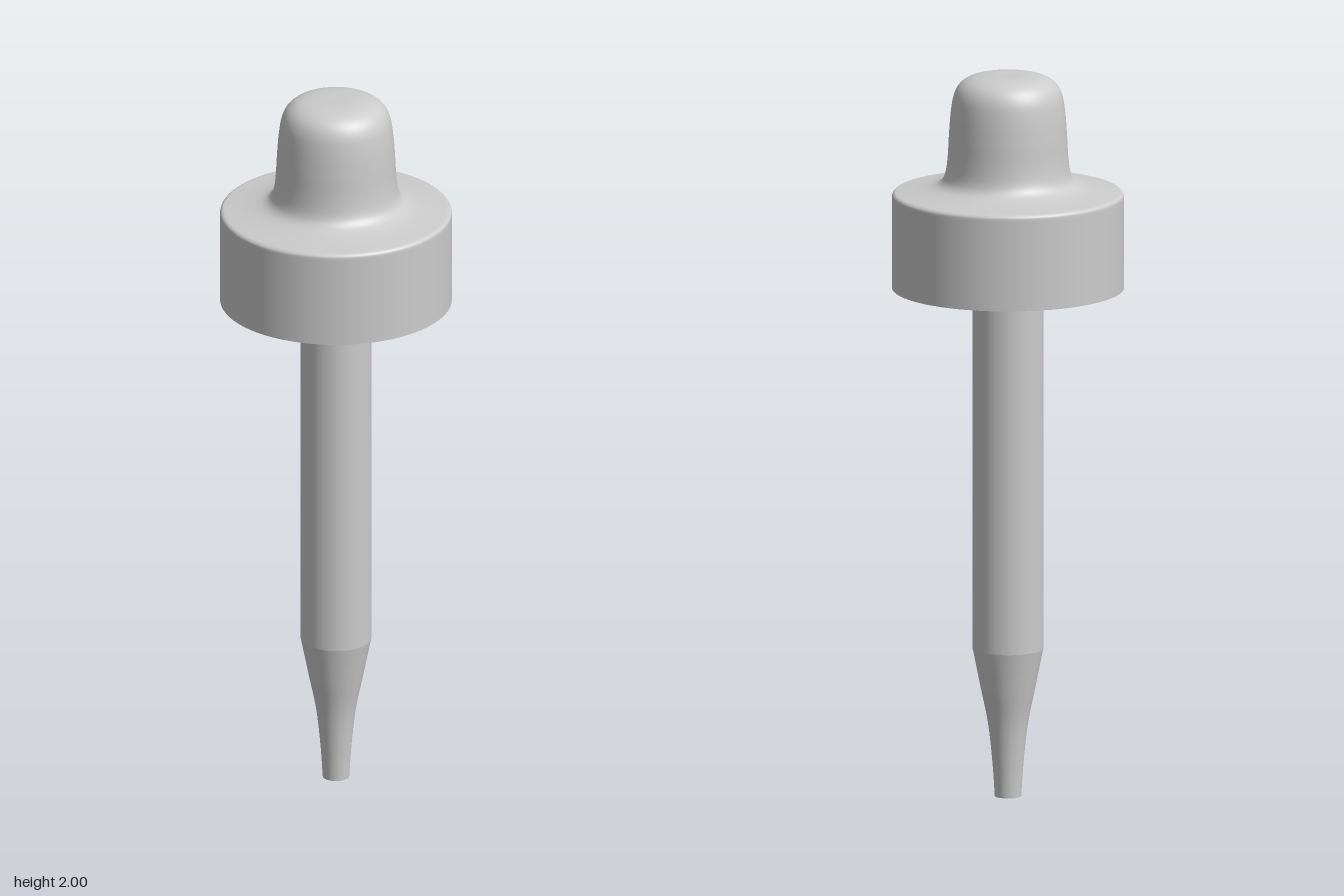
import * as THREE from 'three';
import { mergeGeometries } from 'three/addons/utils/BufferGeometryUtils.js';

const SIDES = 96;
const material = new THREE.MeshStandardMaterial({ color: 0xcccccc, side: THREE.DoubleSide });
const toPoints = (pairs) => pairs.map(([r, y]) => new THREE.Vector2(r, y));

// Smooth curve through a few profile points
const curve = (pairs, n = 40) => new THREE.SplineCurve(toPoints(pairs)).getPoints(n);

// One turned part: each run is smooth, with a sharp edge between runs
function turned(name, runs) {
  const parts = runs.map((run) => new THREE.LatheGeometry(run, SIDES));
  const mesh = new THREE.Mesh(mergeGeometries(parts), material);
  mesh.name = name;
  return mesh;
}

// Straight runs joining consecutive points
const straight = (pairs) => pairs.slice(1).map((p, i) => toPoints([pairs[i], p]));

export function createModel() {
  const group = new THREE.Group();
  group.name = 'dropper';

  // Hollow glass tube, tapering to an open tip
  const taper = [[0.036, 0], [0.042, 0.09], [0.054, 0.2], [0.074, 0.3], [0.096, 0.41]];
  const wall = 0.006;
  group.add(turned('glassTube', [
    ...straight([[0.036 - wall, 0], [0.036, 0]]),
    curve(taper, 24),
    ...straight([[0.096, 0.41], [0.096, 1.68], [0.096 - wall, 1.68], [0.096 - wall, 0.41]]),
    curve(taper.map(([r, y]) => [r - wall, y]).reverse(), 24),
  ]));

  // Screw cap: open underneath, with a recessed ceiling and a hole for the tube
  group.add(turned('cap', [
    ...straight([[0.128, 1.66], [0.128, 1.49], [0.298, 1.49], [0.298, 1.41], [0.315, 1.41], [0.315, 1.66]]),
    curve([[0.315, 1.66], [0.314, 1.668], [0.308, 1.674], [0.298, 1.676]], 12),
  ]));

  // Rubber bulb, flaring out over the top of the cap
  const bulb = [
    [0.298, 1.676], [0.25, 1.682], [0.21, 1.69], [0.185, 1.702], [0.171, 1.725], [0.164, 1.77],
    [0.16, 1.84], [0.155, 1.9], [0.147, 1.945], [0.13, 1.975], [0.1, 1.993], [0.055, 2], [0, 2],
  ];
  group.add(turned('bulb', [curve(bulb, 90)]));

  // Inside of the bulb, seen through the hole in the cap
  group.add(turned('bulbLining', [
    curve([[0, 1.975], [0.07, 1.972], [0.115, 1.95], [0.132, 1.88], [0.136, 1.78], [0.128, 1.66]], 30),
  ]));

  return group;
}
